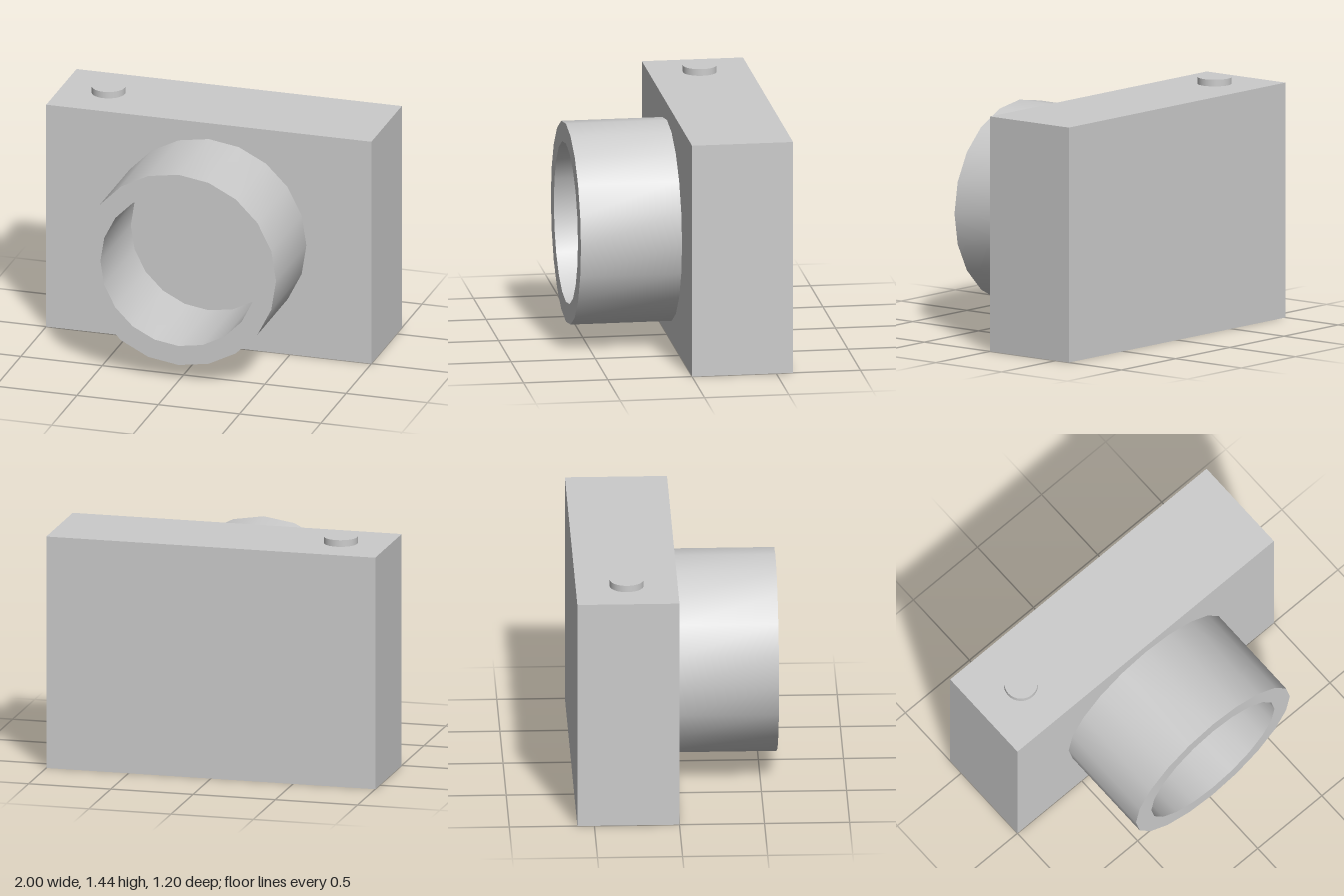
import * as THREE from 'three';
import { toCreasedNormals } from 'three/addons/utils/BufferGeometryUtils.js';

const WIDTH = 2, HEIGHT = 1.4, DEPTH = 0.6;

export function createModel() {
  const model = new THREE.Group();
  model.name = 'camera';
  const material = new THREE.MeshStandardMaterial({ color: 0xcccccc });

  const addPart = (name, geometry, x, y, z) => {
    const mesh = new THREE.Mesh(geometry, material);
    mesh.name = name;
    mesh.position.set(x, y, z);
    model.add(mesh);
    return mesh;
  };

  // Plain box body, its front face at z = 0
  addPart('body', new THREE.BoxGeometry(WIDTH, HEIGHT, DEPTH), 0, HEIGHT / 2, -DEPTH / 2);

  // Hollow lens barrel: outer wall, front rim, inner wall
  const outer = 0.6, inner = 0.48, length = 0.6;
  const profile = [
    [outer, 0], [outer, length], [inner, length], [inner, 0],
  ].map(([r, y]) => new THREE.Vector2(r, y));
  const barrel = toCreasedNormals(new THREE.LatheGeometry(profile, 20), Math.PI / 5);
  barrel.rotateX(Math.PI / 2);
  addPart('lensBarrel', barrel, 0, HEIGHT / 2, 0);

  // Shutter button on the top
  const buttonHeight = 0.04;
  addPart('shutterButton', new THREE.CylinderGeometry(0.1, 0.1, buttonHeight, 32),
    -0.71, HEIGHT + buttonHeight / 2, -DEPTH / 2);

  return model;
}
